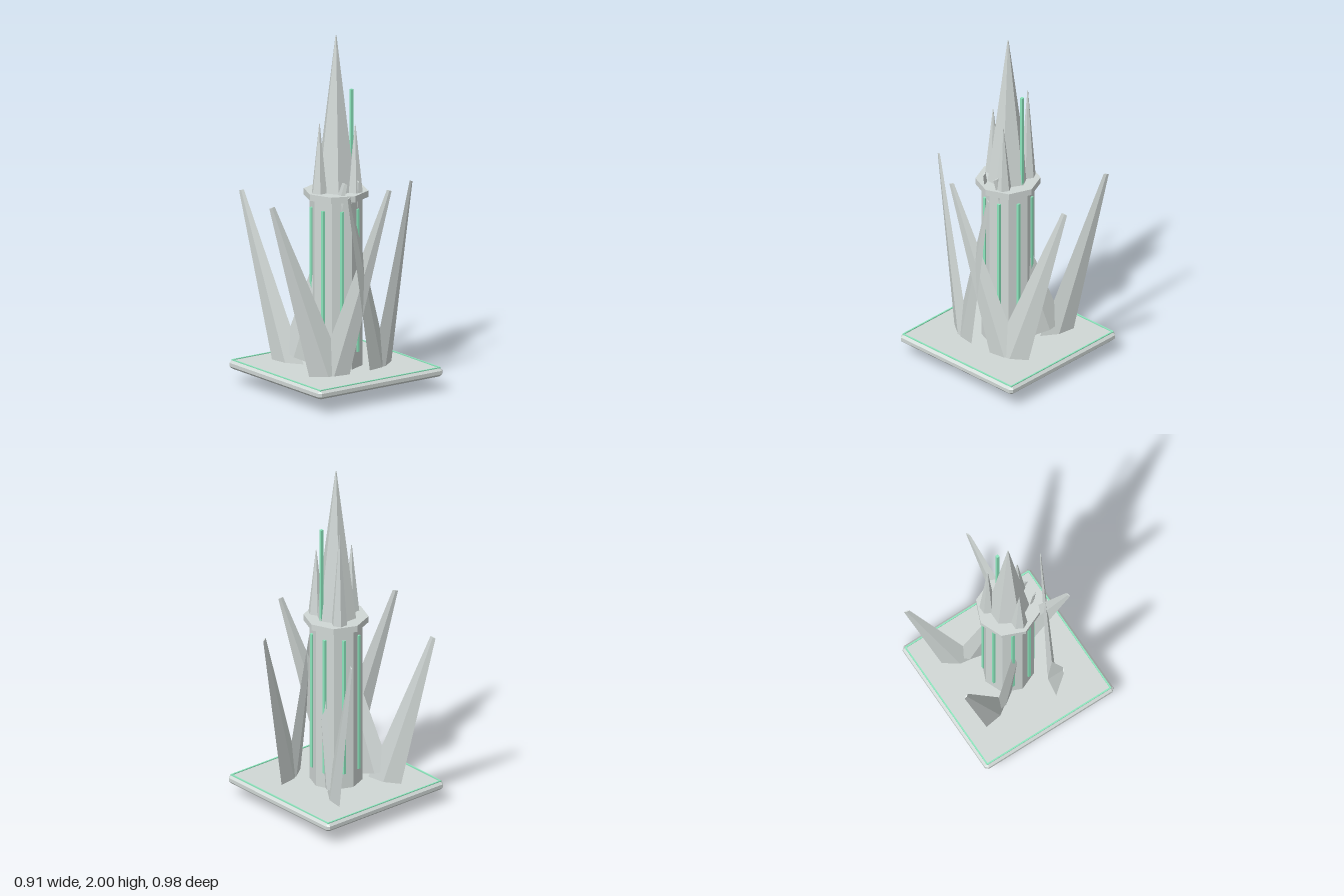
import * as THREE from 'three';

export function createModel() {
  const group = new THREE.Group();
  const stone = new THREE.MeshStandardMaterial({ color: 0xd0d7d5, flatShading: true });
  stone.name = 'pale grey stone';
  const glow = new THREE.MeshStandardMaterial({ color: 0x8eeac0, flatShading: true });
  glow.name = 'light green glow';
  const cx = 0.028; // tower axis

  const add = (name, geometry, material, x = 0, y = 0, z = 0) => {
    const mesh = new THREE.Mesh(geometry, material);
    mesh.name = name;
    mesh.position.set(x, y, z);
    group.add(mesh);
    return mesh;
  };
  // upright prism or cone standing between two heights
  const column = (name, rTop, rBottom, y0, y1, sides, x, z) =>
    add(name, new THREE.CylinderGeometry(rTop, rBottom, y1 - y0, sides), stone, x, (y0 + y1) / 2, z);

  // bevelled base plate with clipped corners
  const bevel = 0.013, clip = 0.008;
  const ax = 0.422 - bevel, az = 0.425 - bevel;
  const outline = new THREE.Shape();
  outline.moveTo(-ax + clip, -az).lineTo(ax - clip, -az).lineTo(ax, -az + clip).lineTo(ax, az - clip);
  outline.lineTo(ax - clip, az).lineTo(-ax + clip, az).lineTo(-ax, az - clip).lineTo(-ax, -az + clip);
  outline.closePath();
  const plate = new THREE.ExtrudeGeometry(outline, {
    depth: 0.02, bevelEnabled: true, bevelThickness: bevel, bevelSize: bevel, bevelSegments: 1,
  });
  plate.rotateX(-Math.PI / 2);
  add('basePlate', plate, stone, cx, 0.083 + bevel, 0);

  // glowing border along the upper edge of the plate
  for (const s of [-1, 1]) {
    add('borderSide', new THREE.BoxGeometry(0.008, 0.009, 2 * az - 0.004), glow, cx + s * (ax - 0.004), 0.13, 0);
    add('borderEnd', new THREE.BoxGeometry(2 * ax - 0.004, 0.009, 0.008), glow, cx, 0.13, s * (az - 0.004));
  }

  // octagonal tower and collar
  column('tower', 0.146, 0.146, 0.12, 1.1, 8, cx, 0);
  column('collar', 0.179, 0.179, 1.086, 1.122, 8, cx, 0);

  // square light strip in the middle of each tower face
  for (let i = 0; i < 8; i++) {
    const a = (i + 0.5) * Math.PI / 4;
    add('lightStrip', new THREE.BoxGeometry(0.016, 0.81, 0.016), glow,
      cx + Math.sin(a) * 0.138, 0.625, Math.cos(a) * 0.138);
  }

  // spires and antenna
  column('mainSpire', 0.003, 0.117, 1.12, 2.0, 6, cx, 0);
  column('leftSpire', 0.002, 0.045, 1.12, 1.503, 6, 0.127, -0.058);
  column('rightSpire', 0.002, 0.045, 1.12, 1.663, 6, -0.068, -0.058);
  column('frontSpire', 0.002, 0.045, 1.12, 1.513, 6, cx, 0.113);
  add('antenna', new THREE.BoxGeometry(0.016, 0.55, 0.016), glow, cx, 1.4, -0.106);

  // flat diamond-section shard leaning from a base point to a tip point
  const shard = (name, base, tip, rBase, rTip) => {
    const a = new THREE.Vector3(...base), b = new THREE.Vector3(...tip);
    const up = b.clone().sub(a);
    const geometry = new THREE.CylinderGeometry(rTip, rBase, up.length(), 4);
    geometry.scale(1, 1, 0.25);
    up.normalize();
    const normal = new THREE.Vector3(up.x, 0, up.z).cross(new THREE.Vector3(0, 1, 0)).normalize();
    const side = up.clone().cross(normal);
    const mesh = add(name, geometry, stone);
    mesh.quaternion.setFromRotationMatrix(new THREE.Matrix4().makeBasis(side, up, normal));
    mesh.position.copy(a).add(b).multiplyScalar(0.5);
  };

  // four V-shaped pairs of shards, mirrored front to back
  for (const s of [-1, 1]) {
    shard('rightOuterShard', [-0.14, 0.031, s * 0.175], [-0.442, 1.065, s * 0.297], 0.105, 0.016);
    shard('rightInnerShard', [-0.118, 0.168, s * 0.166], [0.17, 1.19, s * 0.045], 0.092, 0.017);
    shard('leftOuterShard', [0.205, 0.075, s * 0.17], [0.079, 1.105, s * 0.475], 0.105, 0.016);
    shard('leftInnerShard', [0.208, 0.105, s * 0.162], [0.332, 1.16, s * -0.138], 0.093, 0.014);
  }
  return group;
}
